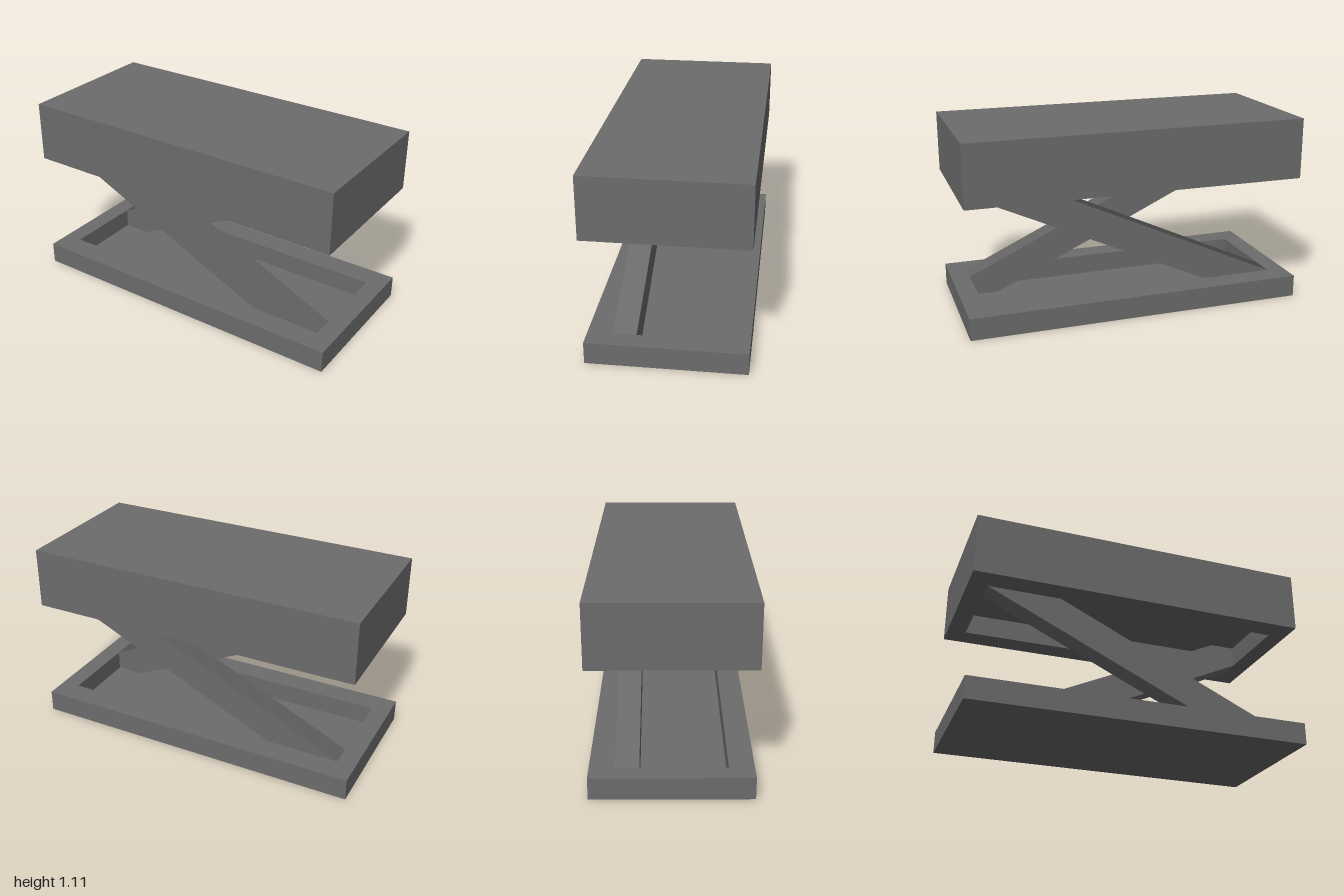
import * as THREE from 'three';

const W = 2, D = 0.895;                 // outer plan of base and platform
const INNER_X = 0.89, INNER_Z = 0.307;  // half size of the recesses
const FLOOR = 0.01, BASE_TOP = 0.13;    // base recess floor and rim
const DECK_LOW = 0.753, CEILING = 0.88, TOP = 1.113;
const ARM_DEPTH = 0.132;

const material = new THREE.MeshStandardMaterial({ color: 0x6c6c6c });

function part(name, geometry) {
  const mesh = new THREE.Mesh(geometry, material);
  mesh.name = name;
  return mesh;
}

// Rectangular rim between two heights
function rim(name, y0, y1) {
  const rect = (Type, x, z) => new Type([
    new THREE.Vector2(-x, -z), new THREE.Vector2(x, -z),
    new THREE.Vector2(x, z), new THREE.Vector2(-x, z),
  ]);
  const shape = rect(THREE.Shape, W / 2, D / 2);
  shape.holes.push(rect(THREE.Path, INNER_X, INNER_Z));
  const geometry = new THREE.ExtrudeGeometry(shape, { depth: y1 - y0, bevelEnabled: false });
  geometry.rotateX(-Math.PI / 2).translate(0, y0, 0);
  return part(name, geometry);
}

// Solid plate between two heights
function plate(name, y0, y1) {
  return part(name, new THREE.BoxGeometry(W, y1 - y0, D).translate(0, (y0 + y1) / 2, 0));
}

// Diagonal arm, its ends cut to fit the recess corners
function arm(name) {
  const near = 0.46, slope = (DECK_LOW - BASE_TOP) / (INNER_X + near);
  const shape = new THREE.Shape([
    [INNER_X, BASE_TOP],
    [-near - (CEILING - DECK_LOW) / slope, CEILING],
    [-INNER_X, CEILING],
    [-INNER_X, DECK_LOW],
    [near + (BASE_TOP - FLOOR) / slope, FLOOR],
    [INNER_X, FLOOR],
  ].map(([x, y]) => new THREE.Vector2(x, y)));
  const geometry = new THREE.ExtrudeGeometry(shape, { depth: ARM_DEPTH, bevelEnabled: false });
  geometry.translate(0, 0, INNER_Z - ARM_DEPTH);

  // Sloping faces shade smoothly into the upright end faces
  const normals = geometry.attributes.normal;
  const n = new THREE.Vector3();
  for (let i = 0; i < normals.count; i++) {
    n.fromBufferAttribute(normals, i);
    if (Math.abs(n.x * n.y) < 0.01) continue;
    n.x += Math.sign(n.x);
    n.normalize();
    normals.setXYZ(i, n.x, n.y, n.z);
  }
  return part(name, geometry);
}

export function createModel() {
  const group = new THREE.Group();
  group.name = 'scissorLift';

  // Base tray, open upwards
  group.add(plate('baseFloor', 0, FLOOR), rim('baseRim', FLOOR, BASE_TOP));

  // Platform, hollow underneath
  group.add(rim('platformRim', DECK_LOW, CEILING), plate('platformDeck', CEILING, TOP));

  // Crossed arms: the back one is the front one turned half round
  const backArm = arm('backArm');
  backArm.rotation.y = Math.PI;
  group.add(arm('frontArm'), backArm);

  return group;
}
